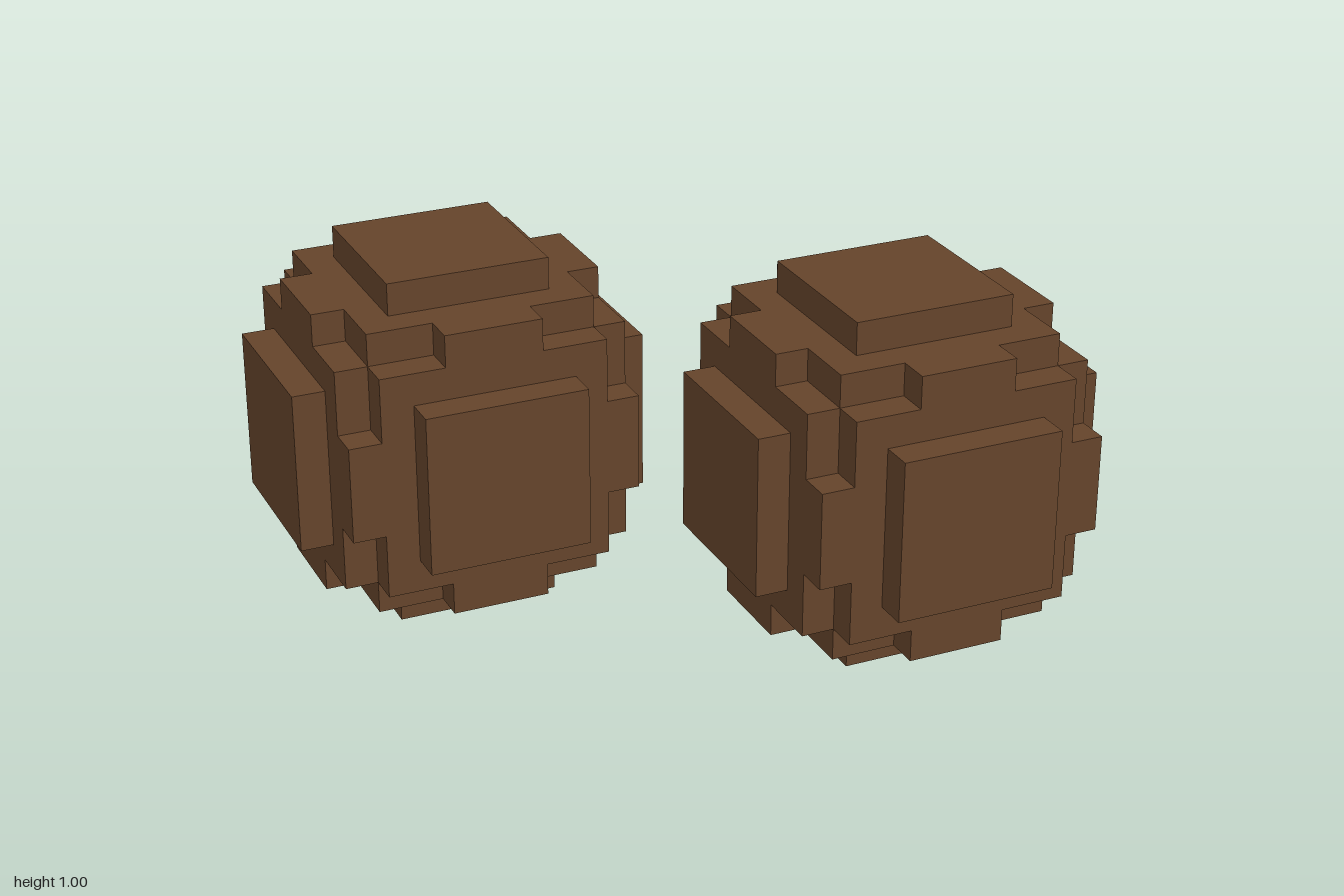
import * as THREE from 'three';

const U = 1 / 11; // one block

export function createModel() {
  const model = new THREE.Group();
  const brown = new THREE.MeshStandardMaterial({ color: 0x65442b });
  brown.name = 'brown';

  // Box measured in blocks, relative to the ball's centre
  function block(parent, name, size, pos) {
    const mesh = new THREE.Mesh(new THREE.BoxGeometry(...size.map((s) => s * U)), brown);
    mesh.position.set(...pos.map((p) => p * U));
    mesh.name = name;
    parent.add(mesh);
  }

  function createBall(name) {
    const ball = new THREE.Group();
    ball.name = name;
    block(ball, 'core', [7, 7, 7], [0, 0, 0]);
    for (let axis = 0; axis < 3; axis++) {
      const b = (axis + 1) % 3, c = (axis + 2) % 3;
      for (const s of [-1, 1]) {
        // Stepped layers on each of the six sides
        for (const [part, width, offset] of [['sidePlate', 7, 4], ['sideCap', 5, 5]]) {
          const size = [width, width, width], pos = [0, 0, 0];
          size[axis] = 1;
          pos[axis] = s * offset;
          block(ball, part, size, pos);
        }
        // Short bars along the twelve edges
        for (const t of [-1, 1]) {
          const size = [1, 1, 1], pos = [0, 0, 0];
          size[axis] = 3;
          pos[b] = s * 4;
          pos[c] = t * 4;
          block(ball, 'edgeBar', size, pos);
        }
      }
    }
    return ball;
  }

  // Two balls set diagonally
  for (const [name, side] of [['rightBall', -1], ['leftBall', 1]]) {
    const ball = createBall(name);
    ball.position.set(side * 0.5, 0.5, side * 4 * U);
    model.add(ball);
  }
  return model;
}
